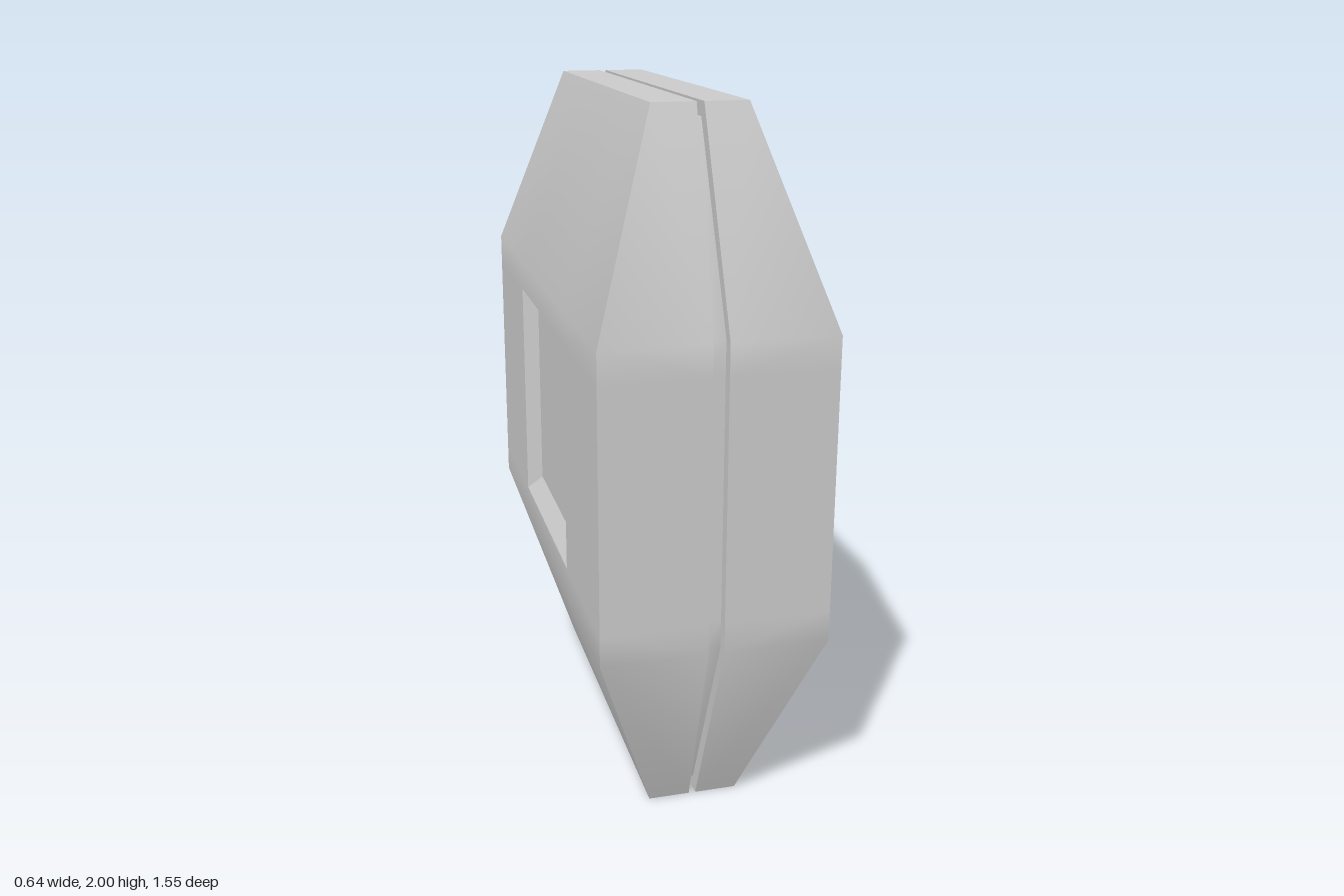
import * as THREE from 'three';
import { toCreasedNormals } from 'three/addons/utils/BufferGeometryUtils.js';

// Levels from bottom to top: y, outer x, half seam width, half depth z
const BELT = [[0.57, 0.32, 0.022, 0.775], [0.66, 0.32, 0.022, 0.775],
  [1.34, 0.32, 0.022, 0.775], [1.43, 0.32, 0.022, 0.775]];
const LEVELS = [[0, 0.13, 0.01, 0.56], ...BELT, [2, 0.13, 0.01, 0.56]];
const SEAM_DEPTH = 0.035;
const RECESS = { half: 0.335, floorHalf: 0.28, depth: 0.04 };

// Collects four-cornered faces; side -1 mirrors them across x
function faceBuilder(side = 1) {
  const pos = [];
  return {
    quad(a, b, c, d) {
      const order = side > 0 ? [a, b, c, a, c, d] : [a, c, b, a, d, c];
      for (const p of order) pos.push(p[0] * side, p[1], p[2]);
    },
    mesh(name) {
      const geo = new THREE.BufferGeometry();
      geo.setAttribute('position', new THREE.Float32BufferAttribute(pos, 3));
      const mesh = new THREE.Mesh(toCreasedNormals(geo, Math.PI / 6),
        new THREE.MeshStandardMaterial({ color: 0xcccccc }));
      mesh.name = name;
      return mesh;
    },
  };
}

// Front, back and end faces of a stack of rectangles [y, x0, x1, z]
function addWalls(f, rects) {
  for (let i = 0; i < rects.length - 1; i++) {
    const [y0, a0, b0, z0] = rects[i], [y1, a1, b1, z1] = rects[i + 1];
    f.quad([a0, y0, z0], [b0, y0, z0], [b1, y1, z1], [a1, y1, z1]);
    f.quad([b0, y0, -z0], [a0, y0, -z0], [a1, y1, -z1], [b1, y1, -z1]);
  }
  const [yb, ab, bb, zb] = rects[0], [yt, at, bt, zt] = rects[rects.length - 1];
  f.quad([at, yt, -zt], [at, yt, zt], [bt, yt, zt], [bt, yt, -zt]);
  f.quad([ab, yb, zb], [ab, yb, -zb], [bb, yb, -zb], [bb, yb, zb]);
}

function halfShell(name, side) {
  const f = faceBuilder(side);
  addWalls(f, LEVELS.map(([y, x, g, z]) => [y, g, x, z]));
  const r = RECESS.half / 0.775, cols = [-1, -r, r, 1];
  for (let i = 0; i < LEVELS.length - 1; i++) {
    const [y0, x0, g0, z0] = LEVELS[i], [y1, x1, g1, z1] = LEVELS[i + 1];
    // Seam wall
    f.quad([g0, y0, z0], [g1, y1, z1], [g1, y1, -z1], [g0, y0, -z0]);
    // Broad outer face, leaving the middle open for the recess
    for (let c = 0; c < 3; c++) {
      if (i === 2 && c === 1) continue;
      const p = cols[c], q = cols[c + 1];
      f.quad([x0, y0, z0 * p], [x1, y1, z1 * p], [x1, y1, z1 * q], [x0, y0, z0 * q]);
    }
  }
  // Square recess: four bevels and a floor
  const ring = (x, h, hy) => [[-1, -1], [1, -1], [1, 1], [-1, 1]]
    .map(([sy, sz]) => [x, 1 + sy * hy, sz * h]);
  const rim = ring(0.32, RECESS.half, 0.34);
  const floor = ring(0.32 - RECESS.depth, RECESS.floorHalf, 0.285);
  for (let k = 0; k < 4; k++) {
    const n = (k + 1) % 4;
    f.quad(rim[k], rim[n], floor[n], floor[k]);
  }
  f.quad(...floor);
  return f.mesh(name);
}

// Inner core that forms the bottom of the seam
function seamCore() {
  const f = faceBuilder();
  addWalls(f, LEVELS.map(([y, , g, z], i) => {
    const inset = i === 0 ? 0.04 : i === LEVELS.length - 1 ? -0.04 : 0;
    return [y + inset, -g, g, z - (inset ? 0.025 : SEAM_DEPTH)];
  }));
  return f.mesh('seamCore');
}

export function createModel() {
  const group = new THREE.Group();
  group.name = 'facetedCase';
  group.add(halfShell('leftShell', 1), halfShell('rightShell', -1), seamCore());
  return group;
}
